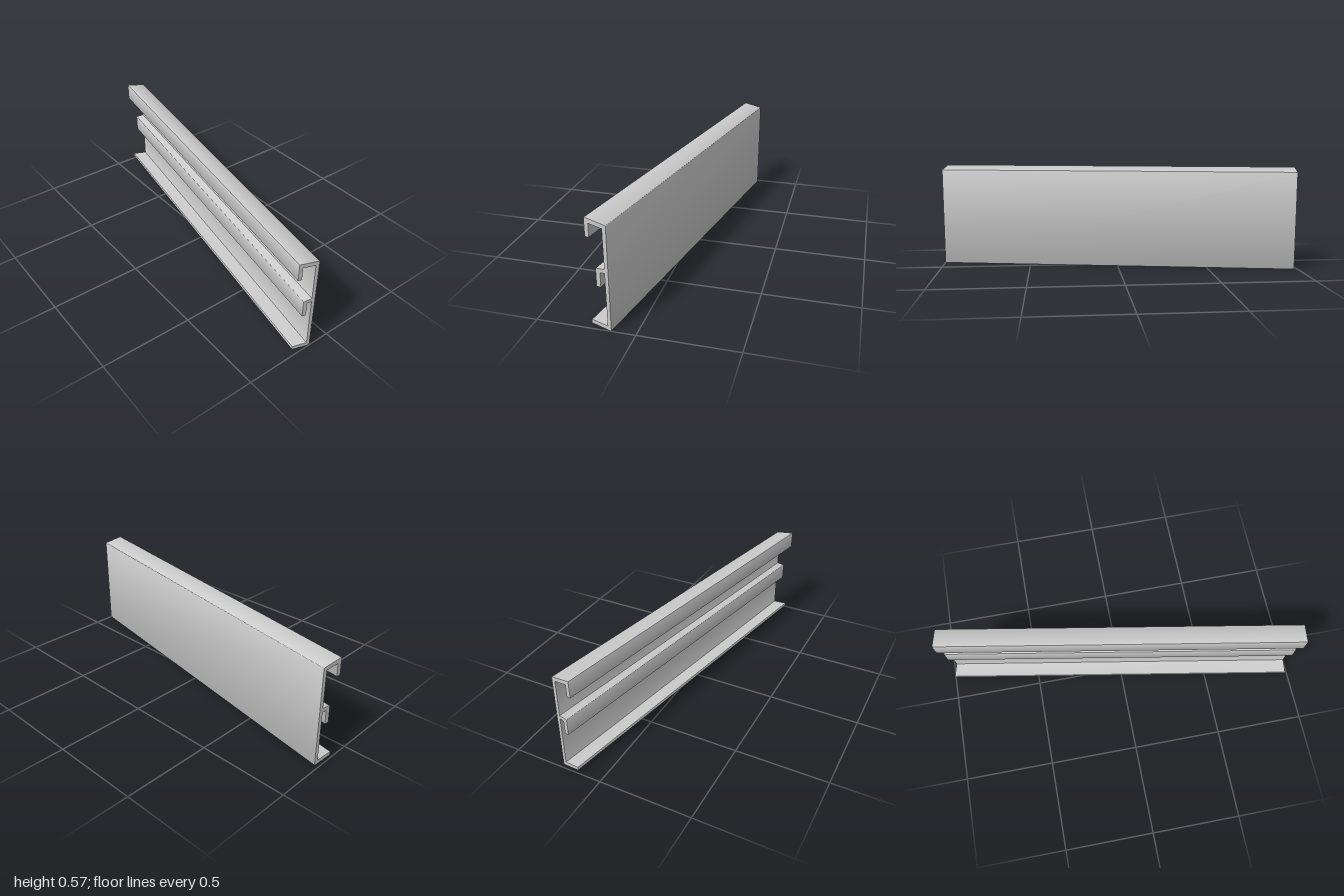
import * as THREE from 'three';
import { toCreasedNormals } from 'three/addons/utils/BufferGeometryUtils.js';

const LENGTH = 2.01;
const YAW = -THREE.MathUtils.degToRad(10);

// Closed outline from [x, y, corner radius] points
function roundedOutline(points) {
  const shape = new THREE.Shape();
  const n = points.length;
  points.forEach(([x, y, r], i) => {
    const p = new THREE.Vector2(x, y);
    const toward = ([a, b]) => new THREE.Vector2(a, b).sub(p).setLength(r).add(p);
    const start = toward(points[(i + n - 1) % n]);
    const end = toward(points[(i + 1) % n]);
    if (i === 0) shape.moveTo(start.x, start.y);
    else shape.lineTo(start.x, start.y);
    shape.quadraticCurveTo(x, y, end.x, end.y);
  });
  shape.closePath();
  return shape;
}

export function createModel() {
  const group = new THREE.Group();
  group.name = 'railProfile';

  // Cross-section: flat face panel at +x, flanges and hooks at -x
  const r = 0.004, s = 0.002;
  const section = roundedOutline([
    // face panel and bottom lip
    [0.055, 0.549, r], [0.055, 0.002, r],
    [-0.049, 0.021, r], [-0.049, 0.041, r], [0.037, 0.027, s],
    // middle hook
    [0.036, 0.307, s], [0.012, 0.306, s], [0.012, 0.229, s],
    [-0.010, 0.230, s], [-0.010, 0.325, r], [0.036, 0.327, s],
    // top hook
    [0.035, 0.531, s], [-0.035, 0.543, s], [-0.035, 0.473, s],
    [-0.056, 0.474, s], [-0.056, 0.570, r],
  ]);

  const extrusion = new THREE.ExtrudeGeometry(section, {
    depth: LENGTH, bevelEnabled: false, curveSegments: 4,
  });
  extrusion.translate(0, 0, -LENGTH / 2);

  const rail = new THREE.Mesh(
    toCreasedNormals(extrusion, 0.6),
    new THREE.MeshStandardMaterial({ color: 0xcccccc }),
  );
  rail.name = 'hookedRail';
  rail.rotation.y = YAW;
  group.add(rail);

  // Rest on the ground
  group.updateMatrixWorld(true);
  rail.position.y = -new THREE.Box3().setFromObject(group, true).min.y;
  return group;
}
